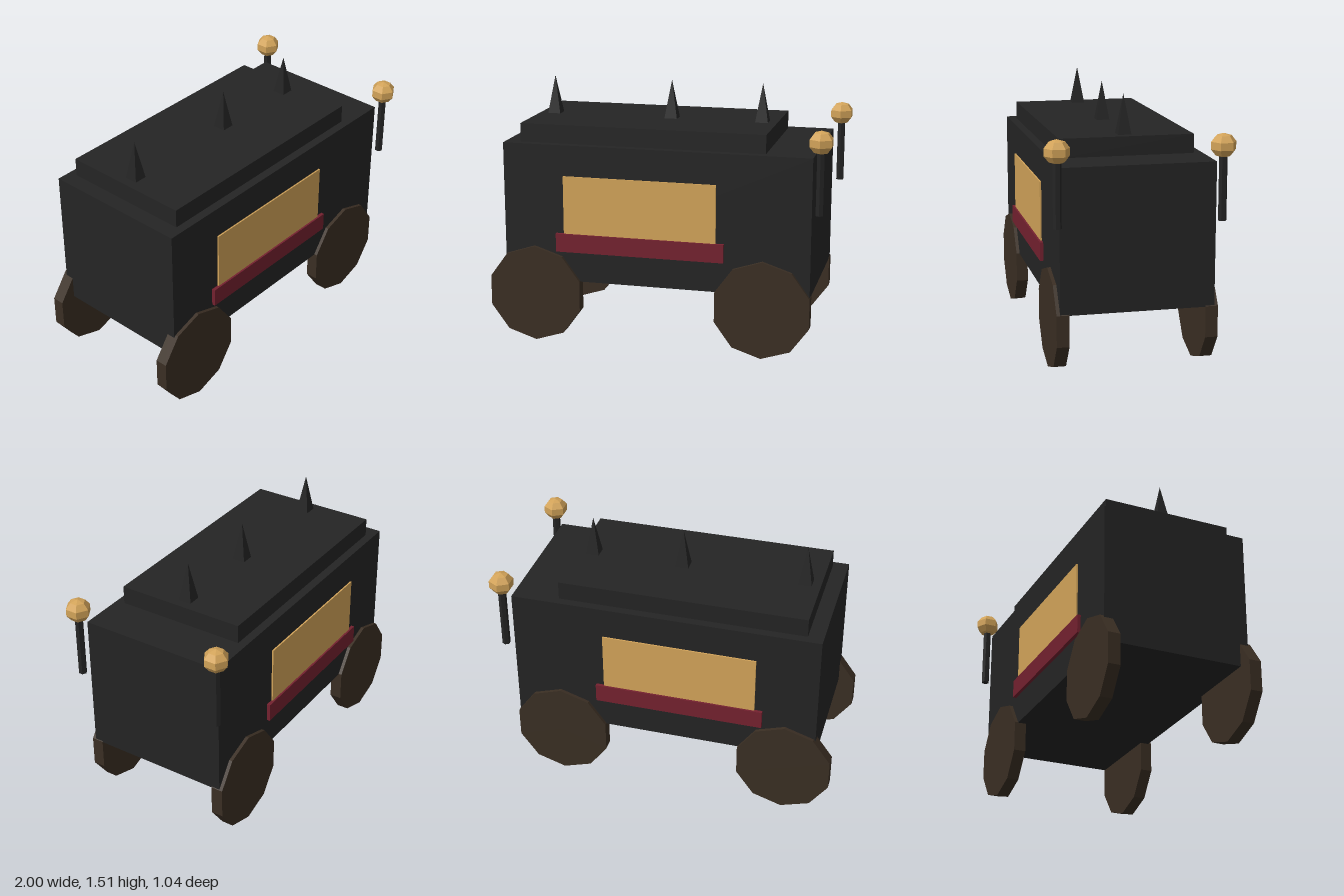
import * as THREE from 'three';

const mat = (name, color) => {
  const m = new THREE.MeshStandardMaterial({ color, flatShading: true });
  m.name = name;
  return m;
};

export function createModel() {
  const group = new THREE.Group();
  const black = mat('black', 0x242424);
  const wood = mat('dark wood', 0x3a2e23);
  const gold = mat('gold', 0xd2a359);
  const red = mat('dark red', 0x74212f);

  const add = (name, geometry, material, x, y, z) => {
    const mesh = new THREE.Mesh(geometry, material);
    mesh.name = name;
    mesh.position.set(x, y, z);
    group.add(mesh);
    return mesh;
  };
  // Box given by its limits on each axis
  const box = (name, material, x0, x1, y0, y1, z0, z1) =>
    add(name, new THREE.BoxGeometry(x1 - x0, y1 - y0, z1 - z0), material,
      (x0 + x1) / 2, (y0 + y1) / 2, (z0 + z1) / 2);

  // Carriage body and raised roof
  box('body', black, -0.907, 0.89, 0.373, 1.18, -0.43, 0.43);
  box('roof', black, -0.817, 0.62, 1.18, 1.287, -0.38, 0.38);

  // Square roof spikes
  const spike = new THREE.ConeGeometry(0.0535, 0.225, 4).rotateY(Math.PI / 4);
  for (const x of [-0.728, -0.01, 0.53]) add('roofSpike', spike, black, x, 1.3985, 0);

  // Ten-sided wheels, with a corner at the top
  const wheel = new THREE.CylinderGeometry(0.287, 0.287, 0.07, 10).rotateX(Math.PI / 2);
  const post = new THREE.CylinderGeometry(0.0235, 0.0235, 0.36, 6);
  const lamp = new THREE.SphereGeometry(0.0735, 6, 5).rotateY(Math.PI / 2).scale(1, 0.91, 1);

  for (const s of [1, -1]) {
    const side = s > 0 ? 'front' : 'back';
    for (const x of [-0.728, 0.62]) add(side + 'Wheel', wheel, wood, x, 0.287, s * 0.415);

    // Window plate and the sill below it
    const [w0, w1] = s > 0 ? [0.43, 0.439] : [-0.439, -0.43];
    box(side + 'Window', gold, -0.547, 0.35, 0.66, 1.0, w0, w1);
    const [r0, r1] = s > 0 ? [0.43, 0.45] : [-0.45, -0.43];
    box(side + 'Sill', red, -0.593, 0.397, 0.552, 0.66, r0, r1);

    // Lamp on a post at the corner
    add(side + 'LampPost', post, black, 0.935, 1.046, s * 0.45);
    add(side + 'Lamp', lamp, gold, 0.935, 1.275, s * 0.45);
  }
  return group;
}
